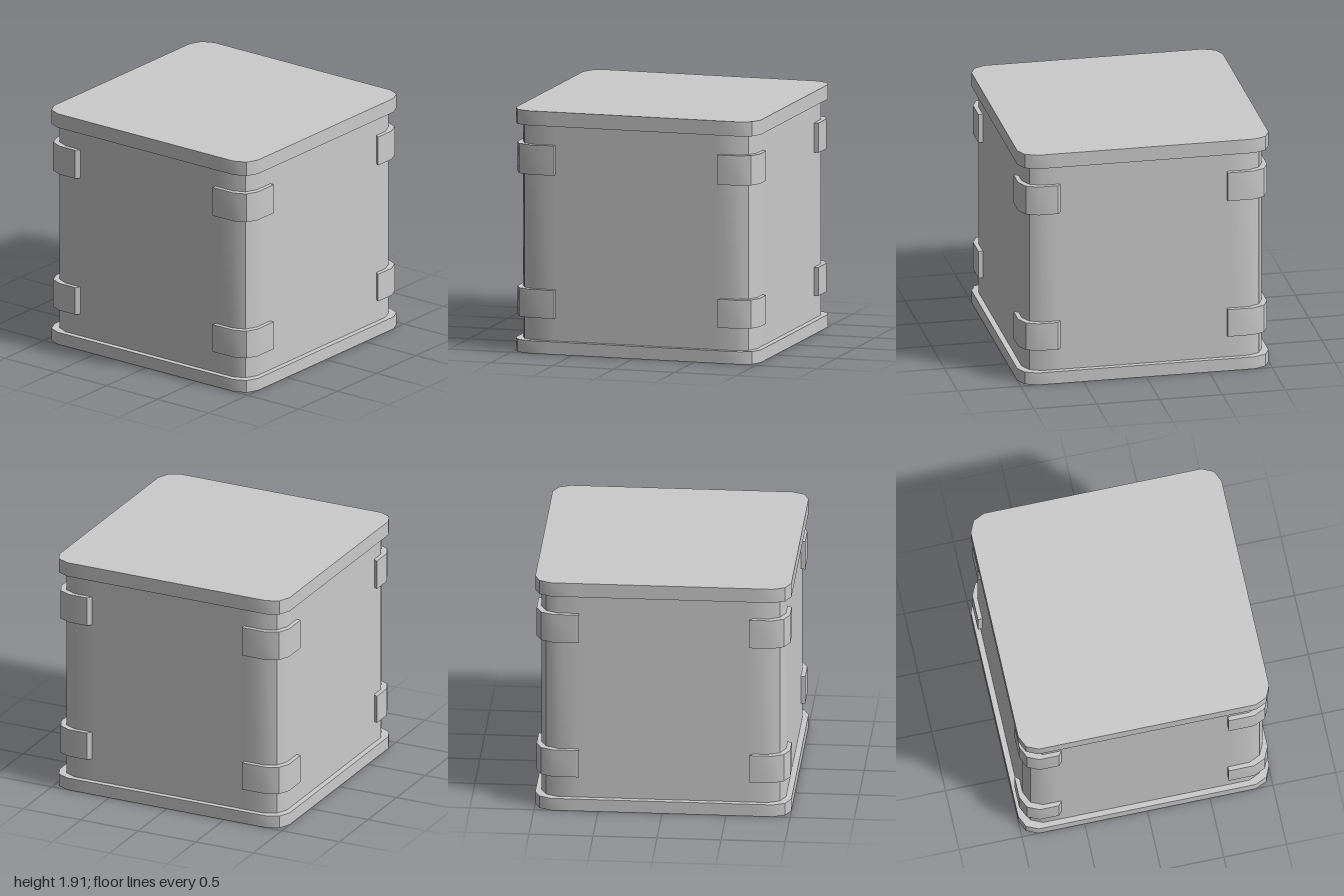
import * as THREE from 'three';
import { toCreasedNormals } from 'three/addons/utils/BufferGeometryUtils.js';

const material = new THREE.MeshStandardMaterial({ color: 0xcccccc });

// Extrudes a plan outline of [x, z] points from height y0 to y1
function slab(name, plan, y0, y1) {
  const shape = new THREE.Shape(plan.map(([x, z]) => new THREE.Vector2(x, -z)));
  const geometry = new THREE.ExtrudeGeometry(shape, { depth: y1 - y0, bevelEnabled: false });
  geometry.rotateX(-Math.PI / 2);
  geometry.translate(0, y0, 0);
  const mesh = new THREE.Mesh(toCreasedNormals(geometry, 0.6), material);
  mesh.name = name;
  return mesh;
}

// Corner profile in the +x +z quadrant: flat, soft bend, hard ridge, soft bend, flat
const corner = (half) => [
  [half, half - 0.3],
  [half, half - 0.135],
  [half - 0.042, half - 0.042],
  [half - 0.135, half],
  [half - 0.3, half],
];

// Square with four facetted corners
function squarePlan(half) {
  const plan = [];
  for (let i = 0; i < 4; i++) {
    for (const [x, z] of corner(half)) {
      plan.push([[x, z], [-z, x], [-x, -z], [z, -x]][i]);
    }
  }
  return plan;
}

// Strap wrapped around a corner; ends are [outer, inner] distances along each face
function strapPlan(sx, sz, xFaceEnd, zFaceEnd) {
  const outer = corner(0.99).slice(1, 4);
  const inner = corner(0.95).slice(1, 4).reverse();
  return [
    [0.99, xFaceEnd[0]], ...outer, [zFaceEnd[0], 0.99],
    [zFaceEnd[1], 0.95], ...inner, [0.95, xFaceEnd[1]],
  ].map(([x, z]) => [x * sx, z * sz]);
}

export function createModel() {
  const group = new THREE.Group();
  group.name = 'crate';

  group.add(slab('basePlate', squarePlan(1), 0, 0.1));
  group.add(slab('body', squarePlan(0.955), 0.1, 1.8));
  group.add(slab('lid', squarePlan(1), 1.8, 1.915));

  // Two straps on every corner, opposite corners alike
  const levels = { lower: [0.28, 0.505], upper: [1.41, 1.645] };
  for (const [level, [y0, y1]] of Object.entries(levels)) {
    for (const sx of [-1, 1]) {
      for (const sz of [-1, 1]) {
        const plan = sx === sz
          ? strapPlan(sx, sz, [0.65, 0.65], [0.65, 0.65])
          : strapPlan(sx, sz, [0.68, 0.71], [0.7, 0.67]);
        const name = `${level}${sz > 0 ? 'Front' : 'Back'}${sx > 0 ? 'Left' : 'Right'}Strap`;
        group.add(slab(name, plan, y0, y1));
      }
    }
  }
  return group;
}
